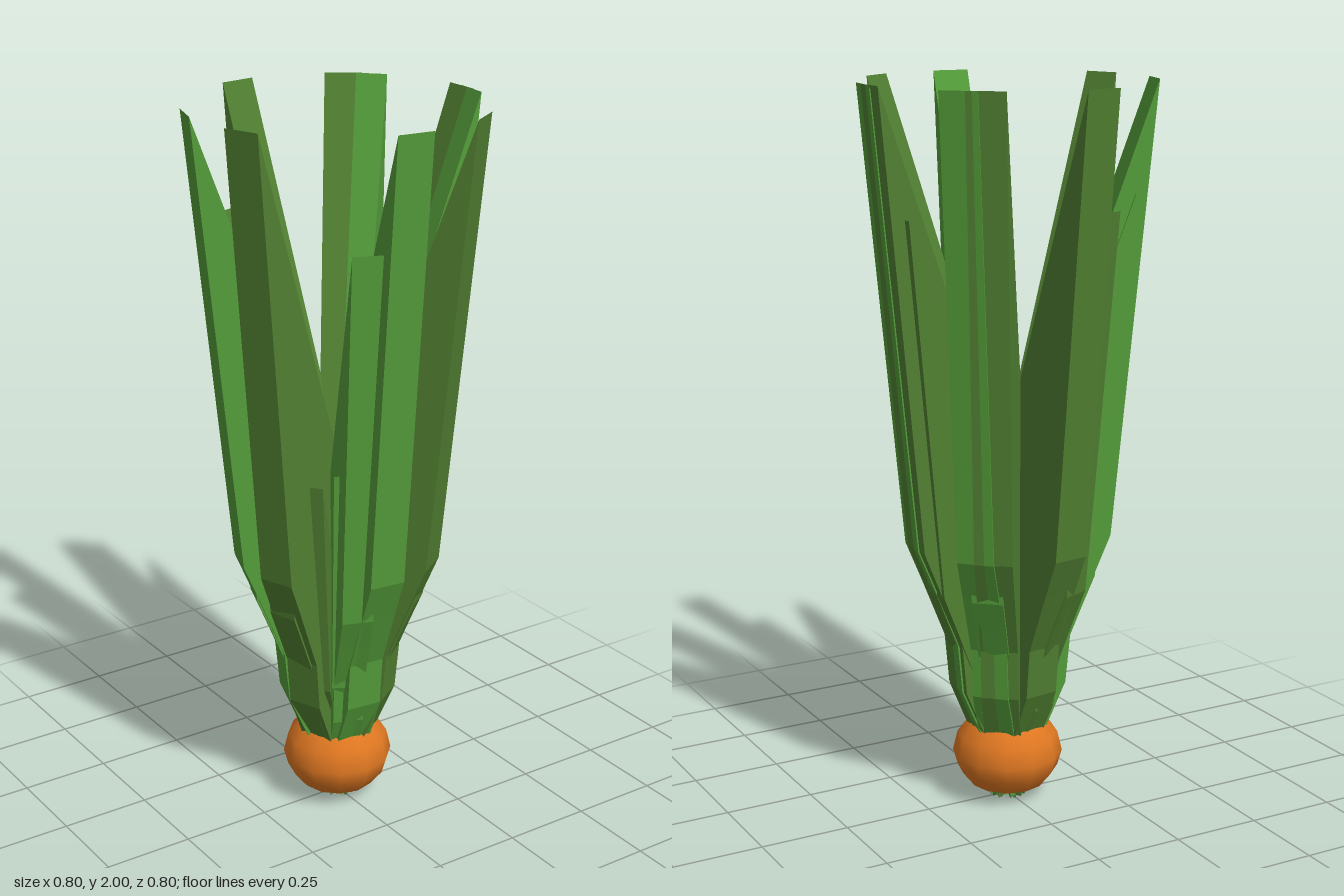
import * as THREE from 'three';

const bright = new THREE.MeshStandardMaterial({ name: 'brightGreen', color: 0x559e3b, flatShading: true });
const olive = new THREE.MeshStandardMaterial({ name: 'oliveGreen', color: 0x518032, flatShading: true });
const orange = new THREE.MeshStandardMaterial({ name: 'bulbOrange', color: 0xe07822, side: THREE.DoubleSide });

// Side outline of a leaf as [distance from axis, height]: outer spine up to the sharp tip,
// then the straight inner slope back down to the axis
const OUTLINE = [[0, 0], [0.1, 0.21], [0.155, 0.34], [0.168, 0.48], [0.235, 0.65], [0.28, 0.76], [0.398, 2], [0, 0.88]];
const WIDTH = 0.102;

// Solid wedge of constant width, pointing to +x
function leafGeometry() {
  const shape = new THREE.Shape(OUTLINE.map(([r, y]) => new THREE.Vector2(r, y)));
  return new THREE.ExtrudeGeometry(shape, { depth: WIDTH, bevelEnabled: false }).translate(0, 0, -WIDTH / 2);
}

// Each leaf: angle from +x towards +z in degrees, scale, colour
const LEAVES = [
  // full-height leaves
  [6.5, 1, bright], [0, 1, olive], [-43.5, 1, bright], [-53.5, 1, olive],
  [-98, 1, olive], [-163, 1, bright], [159.5, 1, olive], [95.5, 1, bright], [56.5, 1, olive],
  // middle leaves
  [110.5, 0.845, bright], [-113, 0.84, olive], [163, 0.84, olive], [-160.5, 0.85, bright],
  [-5, 0.83, olive], [52.5, 0.845, olive], [-48, 0.84, bright],
  // short leaves
  [-142, 0.52, bright], [36, 0.53, bright], [142, 0.51, olive], [119, 0.53, bright],
];

export function createModel() {
  const model = new THREE.Group();
  model.name = 'leafyBulb';

  const leaves = new THREE.Group();
  leaves.name = 'leaves';
  const wedge = leafGeometry();
  for (const [angle, scale, material] of LEAVES) {
    const leaf = new THREE.Mesh(wedge, material);
    leaf.name = scale === 1 ? 'longLeaf' : scale > 0.7 ? 'middleLeaf' : 'shortLeaf';
    leaf.scale.setScalar(scale);
    leaf.rotation.y = -THREE.MathUtils.degToRad(angle);
    leaves.add(leaf);
  }
  model.add(leaves);

  // Round bulb, open where the leaves come out
  const profile = [[0, 0.01], [0.05, 0.015], [0.105, 0.04], [0.141, 0.085], [0.154, 0.13], [0.141, 0.185], [0.11, 0.222]]
    .map(([r, y]) => new THREE.Vector2(r, y));
  const bulb = new THREE.Mesh(new THREE.LatheGeometry(profile, 12), orange);
  bulb.name = 'bulb';
  model.add(bulb);

  return model;
}
